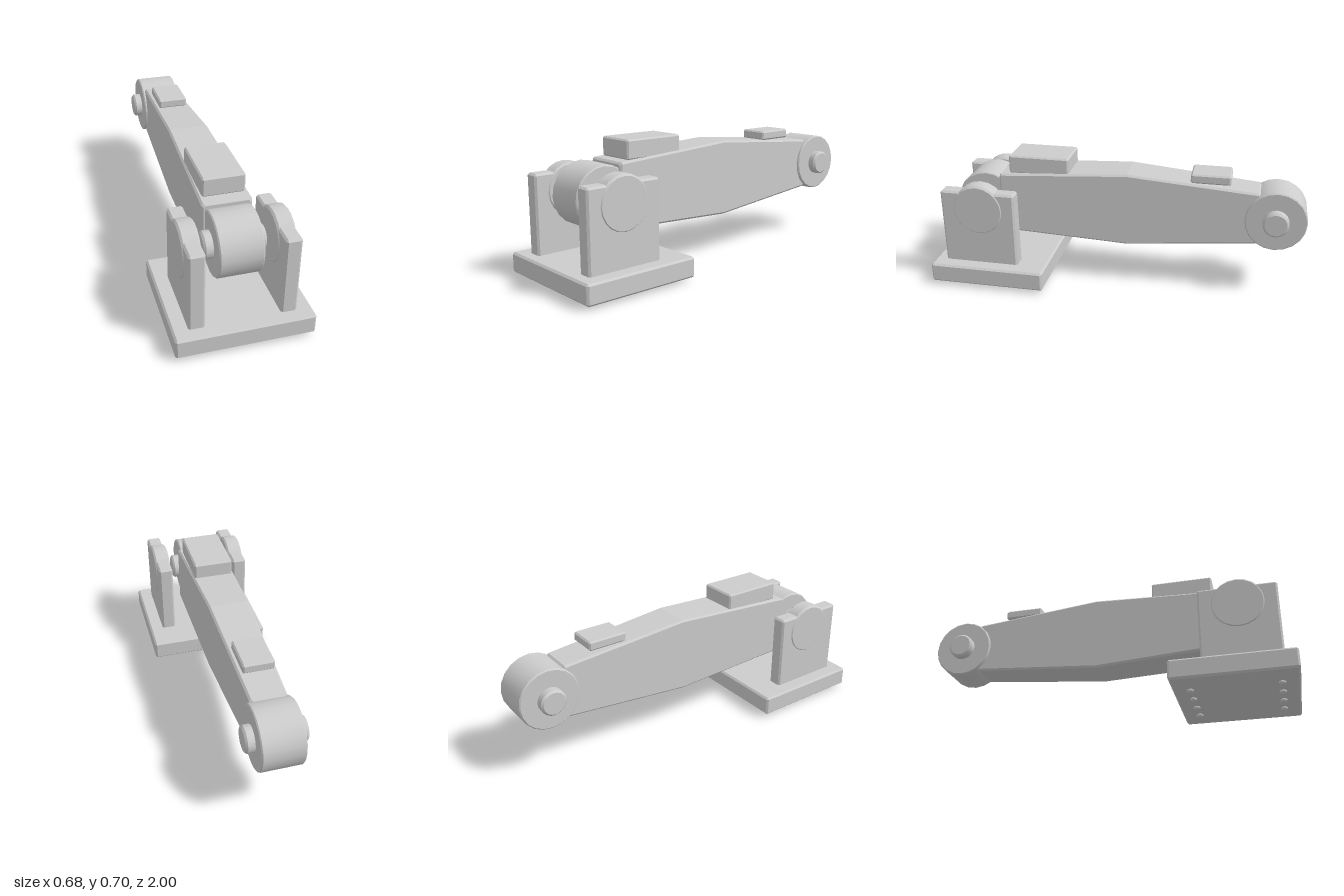
import * as THREE from 'three';
import { toCreasedNormals } from 'three/addons/utils/BufferGeometryUtils.js';
import { ConvexGeometry } from 'three/addons/geometries/ConvexGeometry.js';

const metal = new THREE.MeshStandardMaterial({ color: 0xcccccc });
metal.name = 'lightGreyMetal';

function add(group, name, geometry, x = 0, y = 0, z = 0) {
  const mesh = new THREE.Mesh(geometry, metal);
  mesh.name = name;
  mesh.position.set(x, y, z);
  group.add(mesh);
  return mesh;
}

// Box with every edge cut at 45 degrees, centred on the origin
function chamferBox(w, h, d, c) {
  const points = [];
  for (const sx of [-1, 1]) for (const sy of [-1, 1]) for (const sz of [-1, 1]) {
    const x = w / 2, y = h / 2, z = d / 2;
    points.push(
      new THREE.Vector3(sx * x, sy * (y - c), sz * (z - c)),
      new THREE.Vector3(sx * (x - c), sy * y, sz * (z - c)),
      new THREE.Vector3(sx * (x - c), sy * (y - c), sz * z));
  }
  return new ConvexGeometry(points);
}

// Cylinder along y with chamfered rims
function chamferCylinder(r, length, c, sides) {
  const h = length / 2;
  const profile = [[0, -h], [r - c, -h], [r, -h + c], [r, h - c], [r - c, h], [0, h]]
    .map(([x, y]) => new THREE.Vector2(x, y));
  return toCreasedNormals(new THREE.LatheGeometry(profile, sides), 0.6);
}

// The same cylinder turned to lie along x
const axle = (r, length, c, sides = 20) => chamferCylinder(r, length, c, sides).rotateZ(Math.PI / 2);

// Tapered beam, deepest in the middle, from chamfered cross-sections
function armGeometry() {
  const c = 0.01;
  const sections = [ // z, half width, bottom, top
    [0.65, 0.115, 0.277, 0.588],
    [0.64, 0.125, 0.267, 0.598],
    [-0.05, 0.109, 0.23, 0.637],
    [-0.74, 0.092, 0.29, 0.577],
    [-0.75, 0.082, 0.3, 0.567],
  ];
  const points = [];
  for (const [z, w, bottom, top] of sections) for (const s of [-1, 1]) {
    points.push(
      new THREE.Vector3(s * w, bottom + c, z), new THREE.Vector3(s * (w - c), bottom, z),
      new THREE.Vector3(s * w, top - c, z), new THREE.Vector3(s * (w - c), top, z));
  }
  return new ConvexGeometry(points);
}

export function createModel() {
  const model = new THREE.Group();
  model.name = 'hingedArm';

  // Mounting plate and the studs beneath it
  add(model, 'basePlate', chamferBox(0.684, 0.106, 0.63, 0.01), 0, 0.071, 0.685);
  const stud = chamferCylinder(0.018, 0.022, 0.008, 12);
  for (const z of [0.91, 0.46]) for (const x of [-0.184, -0.061, 0.061, 0.184]) {
    add(model, 'stud', stud, x, 0.011, z);
  }

  // Bracket walls with bearing discs
  const wall = chamferBox(0.08, 0.42, 0.41, 0.01);
  const disc = axle(0.14, 0.089, 0.01);
  for (const s of [-1, 1]) {
    add(model, 'bracketWall', wall, s * 0.225, 0.324, 0.732);
    add(model, 'bearingDisc', disc, s * 0.225, 0.435, 0.732);
  }

  // Pivot hubs and pins at both ends of the arm
  const hub = axle(0.162, 0.214, 0.006);
  const pin = axle(0.068, 0.304, 0.01);
  for (const [end, z] of [['front', 0.732], ['rear', -0.838]]) {
    add(model, end + 'Hub', hub, 0, 0.433, z);
    add(model, end + 'Pin', pin, 0, 0.433, z);
  }

  // Arm and the blocks on top of it
  add(model, 'arm', armGeometry());
  add(model, 'largeTopBlock', chamferBox(0.214, 0.1, 0.33, 0.008), 0, 0.65, 0.43);
  add(model, 'smallTopBlock', chamferBox(0.16, 0.05, 0.21, 0.008), 0, 0.63, -0.49);

  return model;
}
